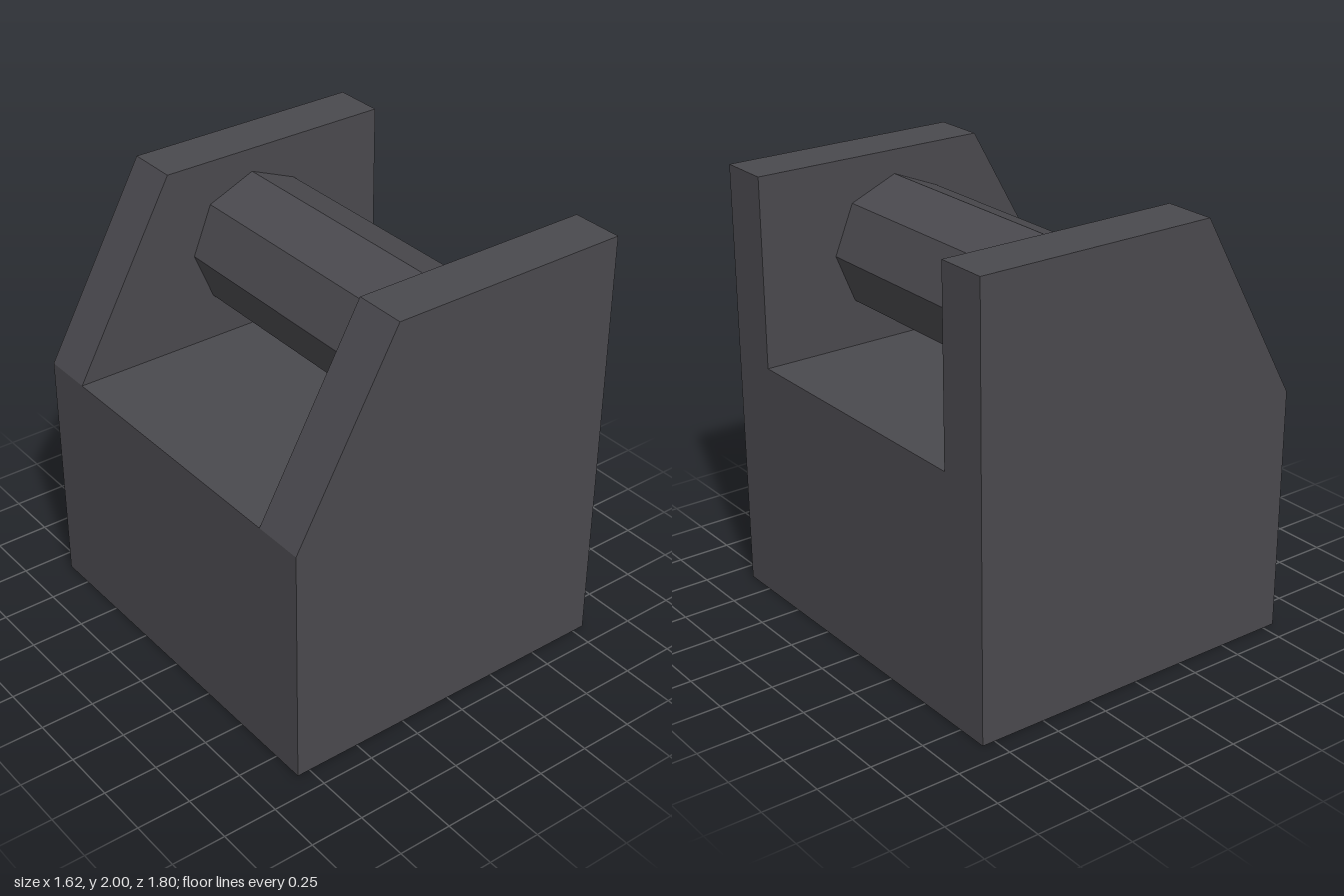
import * as THREE from 'three';

const W = 0.81;          // half width (x)
const D = 0.9;           // half depth (z)
const INNER = 0.66;      // inner face of each cheek (z)
const DECK = 1.13;       // deck height
const BEVEL_X = -0.32;   // where the slanted edge meets the top
const TOP = 2;

// Open sheet: a polyline in x,y swept from z0 to z1, with a hard edge at each bend
function sheet(points, z0, z1) {
  const pos = [];
  for (let i = 0; i < points.length - 1; i++) {
    const [ax, ay] = points[i];
    const [bx, by] = points[i + 1];
    pos.push(ax, ay, z0, ax, ay, z1, bx, by, z1);
    pos.push(ax, ay, z0, bx, by, z1, bx, by, z0);
  }
  const geo = new THREE.BufferGeometry();
  geo.setAttribute('position', new THREE.Float32BufferAttribute(pos, 3));
  geo.computeVertexNormals();
  return geo;
}

// Flat plate standing at depth z
function plate(points, z) {
  const shape = new THREE.Shape(points.map(([x, y]) => new THREE.Vector2(x, y)));
  return new THREE.ShapeGeometry(shape).translate(0, 0, z);
}

export function createModel() {
  const model = new THREE.Group();
  const darkGrey = new THREE.MeshStandardMaterial({ color: 0x4a494e, side: THREE.DoubleSide });
  darkGrey.name = 'darkGrey';

  const add = (name, geo) => {
    const mesh = new THREE.Mesh(geo, darkGrey);
    mesh.name = name;
    model.add(mesh);
    return mesh;
  };

  // Hollow base, open underneath
  add('slantSideWall', sheet([[-W, 0], [-W, DECK]], -D, D));
  add('straightSideWall', sheet([[W, DECK], [W, 0]], -D, D));
  add('deck', sheet([[-W, DECK], [W, DECK]], -INNER, INNER));

  // Hollow cheeks with one slanted edge, front and back
  const cheek = [[-W, DECK], [BEVEL_X, TOP], [W, TOP], [W, DECK]];
  const outer = [[-W, 0], ...cheek, [W, 0]];
  for (const [name, s] of [['front', 1], ['back', -1]]) {
    add(name + 'OuterPanel', plate(outer, s * D));
    add(name + 'CheekInnerPanel', plate(cheek, s * INNER));
    add(name + 'CheekRim', sheet(cheek, Math.min(s * INNER, s * D), Math.max(s * INNER, s * D)));
  }

  // Eight-sided roller between the cheeks
  const roller = new THREE.CylinderGeometry(0.32, 0.32, INNER * 2, 8, 1, true)
    .toNonIndexed();
  roller.computeVertexNormals();
  roller.rotateX(Math.PI / 2);
  add('roller', roller).position.set(0.12, 1.57, 0);

  return model;
}
